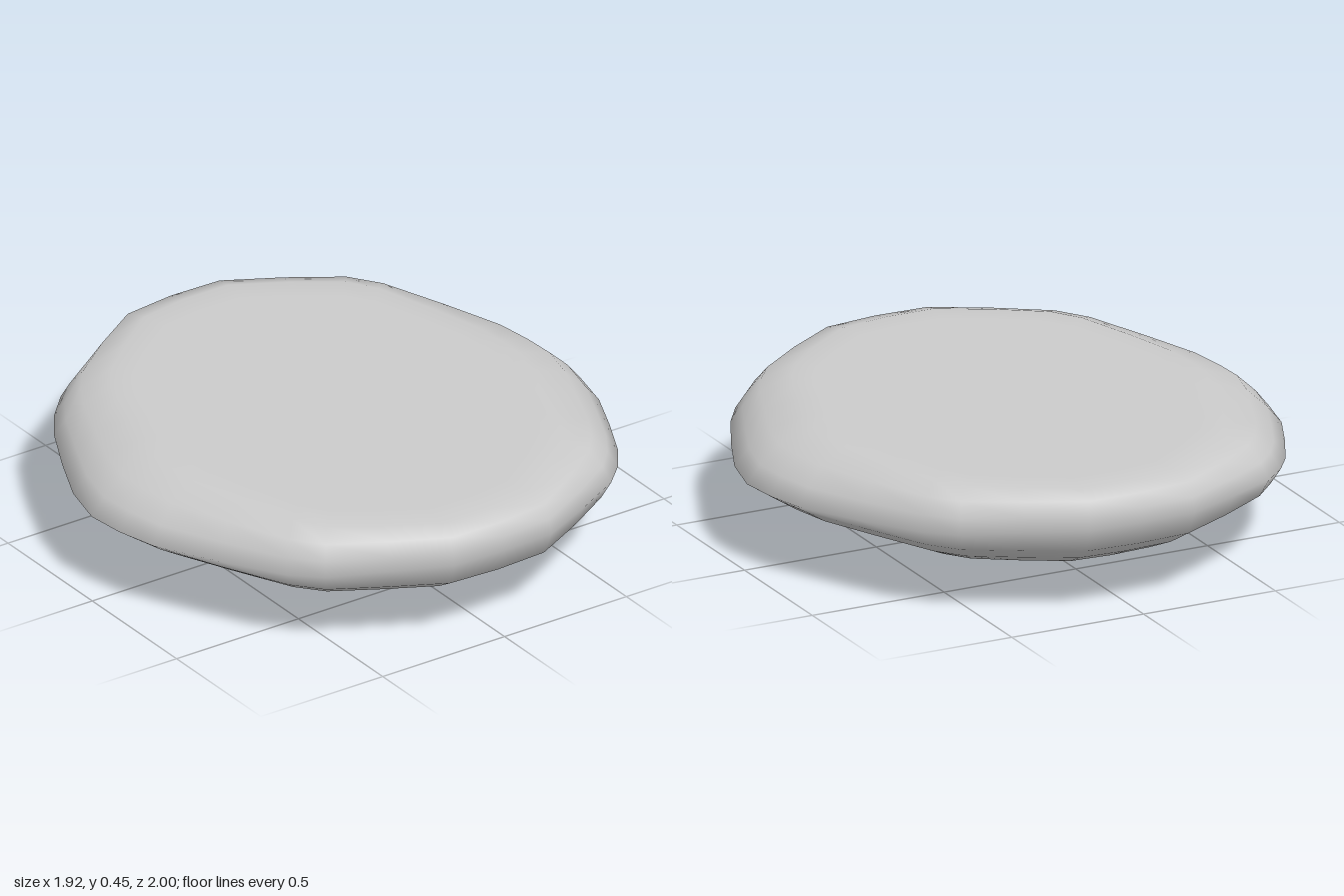
import * as THREE from 'three';

// Half of the rim outline (x, z); the other half is the same turned by 180 degrees
const HALF = [
  [0, -1], [0.2, -0.99], [0.4, -0.89], [0.59, -0.79], [0.68, -0.69], [0.8, -0.46],
  [0.91, -0.23], [0.945, -0.08], [0.96, 0.06], [0.92, 0.23], [0.84, 0.41],
  [0.75, 0.59], [0.68, 0.69], [0.59, 0.78], [0.4, 0.89], [0.2, 0.99],
];

// Cross-section rings from top to underside:
// [scale, y] along x, [scale, y] along z, diagonal shift of the scale
const RINGS = [
  [0.4, 0.45, 0.5, 0.45, 0],
  [0.66, 0.45, 0.8, 0.45, 0.05],
  [0.75, 0.448, 0.905, 0.449, 0.07],
  [0.88, 0.41, 0.98, 0.43, 0.05],
  [0.95, 0.345, 0.994, 0.38, 0.02],
  [1, 0.283, 1, 0.33, 0],
  [0.96, 0.258, 0.965, 0.243, 0],
  [0.88, 0.21, 0.87, 0.185, 0],
  [0.75, 0.16, 0.76, 0.134, 0],
  [0.58, 0.126, 0.6, 0.098, 0],
  [0.42, 0.088, 0.42, 0.053, 0],
  [0.23, 0.036, 0.22, 0.015, 0],
  [0.08, 0.004, 0.07, 0.001, 0],
];

function stoneGeometry() {
  const outline = [...HALF, ...HALF.map(([x, z]) => [-x, -z])];
  const n = outline.length;
  const positions = [];
  const index = [];

  // Rings blend between the x and z profiles around the outline
  for (const [sx, yx, sz, yz, skew] of RINGS) {
    for (const [x, z] of outline) {
      const r2 = x * x + z * z;
      const w = (x * x) / r2;
      const s = sx * w + sz * (1 - w) - (skew * x * z) / r2;
      positions.push(x * s, yx * w + yz * (1 - w), z * s);
    }
  }
  for (let r = 0; r < RINGS.length - 1; r++) {
    for (let i = 0; i < n; i++) {
      const a = r * n + i;
      const b = r * n + ((i + 1) % n);
      index.push(a, b, a + n, b, b + n, a + n);
    }
  }

  // Flat top and underside close on a centre point each
  const top = RINGS.length * n;
  const last = top - n;
  positions.push(0, 0.45, 0, 0, 0, 0);
  for (let i = 0; i < n; i++) {
    const j = (i + 1) % n;
    index.push(top, j, i, top + 1, last + i, last + j);
  }

  const geometry = new THREE.BufferGeometry();
  geometry.setAttribute('position', new THREE.Float32BufferAttribute(positions, 3));
  geometry.setIndex(index);
  geometry.computeVertexNormals();
  return geometry;
}

export function createModel() {
  const model = new THREE.Group();
  model.name = 'flatStone';
  const stone = new THREE.Mesh(
    stoneGeometry(),
    new THREE.MeshStandardMaterial({ color: 0xcccccc }),
  );
  stone.name = 'stone';
  model.add(stone);
  return model;
}
